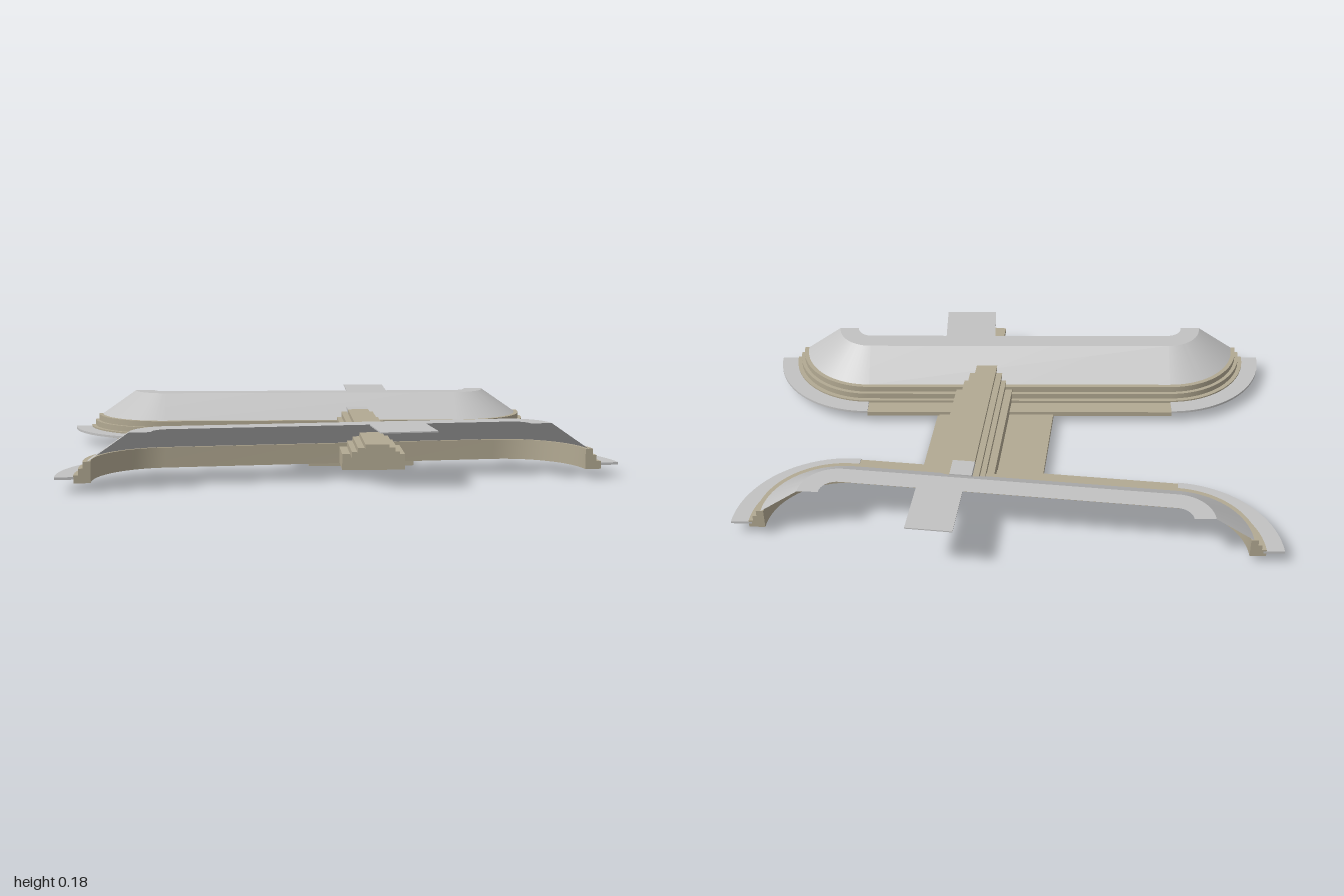
import * as THREE from 'three';
import { toCreasedNormals } from 'three/addons/utils/BufferGeometryUtils.js';

const grey = new THREE.MeshStandardMaterial({ color: 0xc2c2c2, side: THREE.DoubleSide });
grey.name = 'light grey';
const tan = new THREE.MeshStandardMaterial({ color: 0xb2a992, side: THREE.DoubleSide });
tan.name = 'tan stone';

const HALF_PI = Math.PI / 2;

// Stations along a plan curve: each has a centre x and a facing angle
function arcStations(cx, a0, a1, n = 20) {
  return Array.from({ length: n + 1 }, (_, i) => [cx, a0 + (a1 - a0) * i / n]);
}

// Sweep a profile of [radius, y] points along the stations
function sweep(name, profile, stations, material, closed) {
  const pts = [];
  const at = ([cx, a], [r, y]) => [cx + r * Math.sin(a), y, r * Math.cos(a)];
  const edges = closed ? profile.length : profile.length - 1;
  for (let i = 0; i < stations.length - 1; i++) {
    for (let j = 0; j < edges; j++) {
      const p = profile[j], q = profile[(j + 1) % profile.length];
      const a = at(stations[i], p), b = at(stations[i + 1], p);
      const c = at(stations[i + 1], q), d = at(stations[i], q);
      pts.push(...a, ...b, ...c, ...a, ...c, ...d);
    }
  }
  // End caps
  if (closed) {
    const faces = THREE.ShapeUtils.triangulateShape(profile.map(p => new THREE.Vector2(...p)), []);
    for (const s of [stations[0], stations[stations.length - 1]])
      for (const f of faces) for (const k of f) pts.push(...at(s, profile[k]));
  }
  const g = new THREE.BufferGeometry();
  g.setAttribute('position', new THREE.Float32BufferAttribute(pts, 3));
  const mesh = new THREE.Mesh(toCreasedNormals(g, 0.5), material);
  mesh.name = name;
  return mesh;
}

// Box given by its limits on each axis
function box(name, x0, x1, y0, y1, z0, z1, material) {
  const g = new THREE.BoxGeometry(x1 - x0, y1 - y0, z1 - z0);
  g.translate((x0 + x1) / 2, (y0 + y1) / 2, (z0 + z1) / 2);
  const mesh = new THREE.Mesh(g, material);
  mesh.name = name;
  return mesh;
}

// One long half-shell with rounded ends, open along its back
function terrace({ name, half, leftArc, rightArc, x, z, angle, tab }) {
  const group = new THREE.Group();
  group.name = name;
  const left = arcStations(-half, -leftArc, 0);
  const right = arcStations(half, 0, rightArc);
  const straight = [[-half, 0], [half, 0]];
  const all = [...left, ...right];

  const steps = [[0.29, 0.03], [0.29, 0.055], [0.275, 0.055], [0.275, 0.075],
    [0.262, 0.075], [0.262, 0.096], [0.238, 0.096], [0.238, 0.03]];
  const roof = [[0.247, 0.096], [0.122, 0.182], [0.054, 0.182]];
  const rim = [[0.348, 0.042], [0.348, 0.05], [0.28, 0.05], [0.28, 0.042]];
  const walk = [[0.348, 0.03], [0.348, 0.046], [0.26, 0.046], [0.26, 0.03]];

  group.add(
    sweep('steppedWall', steps, all, tan, true),
    sweep('slopedRoof', roof, all, grey, false),
    sweep('leftRim', rim, left, grey, true),
    sweep('rightRim', rim, right, grey, true),
    sweep('walkway', walk, straight, tan, true),
    box('roofTab', tab[0], tab[1], 0.178, 0.182, tab[2], 0.054, grey),
  );
  group.position.set(x, 0, z);
  group.rotation.y = angle;
  return group;
}

function bridge() {
  const group = new THREE.Group();
  group.name = 'bridge';
  group.add(
    box('deck', -0.09, 0.315, 0.015, 0.036, -0.234, 0.188, tan),
    box('deckBase', -0.03, 0.325, 0, 0.018, -0.2, 0.145, tan),
  );
  // Beam of stacked layers: higher ones are narrower and longer
  const mid = 0.166;
  const layers = [
    [0.1, 0.034, 0.085, -0.28, 0.42],
    [0.075, 0.085, 0.105, -0.31, 0.5],
    [0.058, 0.105, 0.122, -0.325, 0.525],
    [0.037, 0.122, 0.138, -0.265, 0.563],
  ];
  layers.forEach(([w, y0, y1, z0, z1], i) =>
    group.add(box('beamLayer' + (i + 1), mid - w, mid + w, y0, y1, z0, z1, tan)));
  group.add(box('beamEnd', mid - 0.037, mid + 0.037, 0.122, 0.138, -0.34, -0.265, grey));
  group.rotation.y = THREE.MathUtils.degToRad(37.7);
  return group;
}

export function createModel() {
  const model = new THREE.Group();
  model.name = 'twinTerraces';
  model.add(
    terrace({
      name: 'backTerrace', half: 0.54, leftArc: 1.45, rightArc: 1.65,
      x: -0.328, z: -0.421, angle: THREE.MathUtils.degToRad(37.3), tab: [0.14, 0.29, -0.142],
    }),
    terrace({
      name: 'frontTerrace', half: 0.545, leftArc: HALF_PI, rightArc: HALF_PI,
      x: 0.362, z: 0.355, angle: THREE.MathUtils.degToRad(224.2), tab: [-0.27, -0.09, -0.114],
    }),
    bridge(),
  );
  return model;
}
